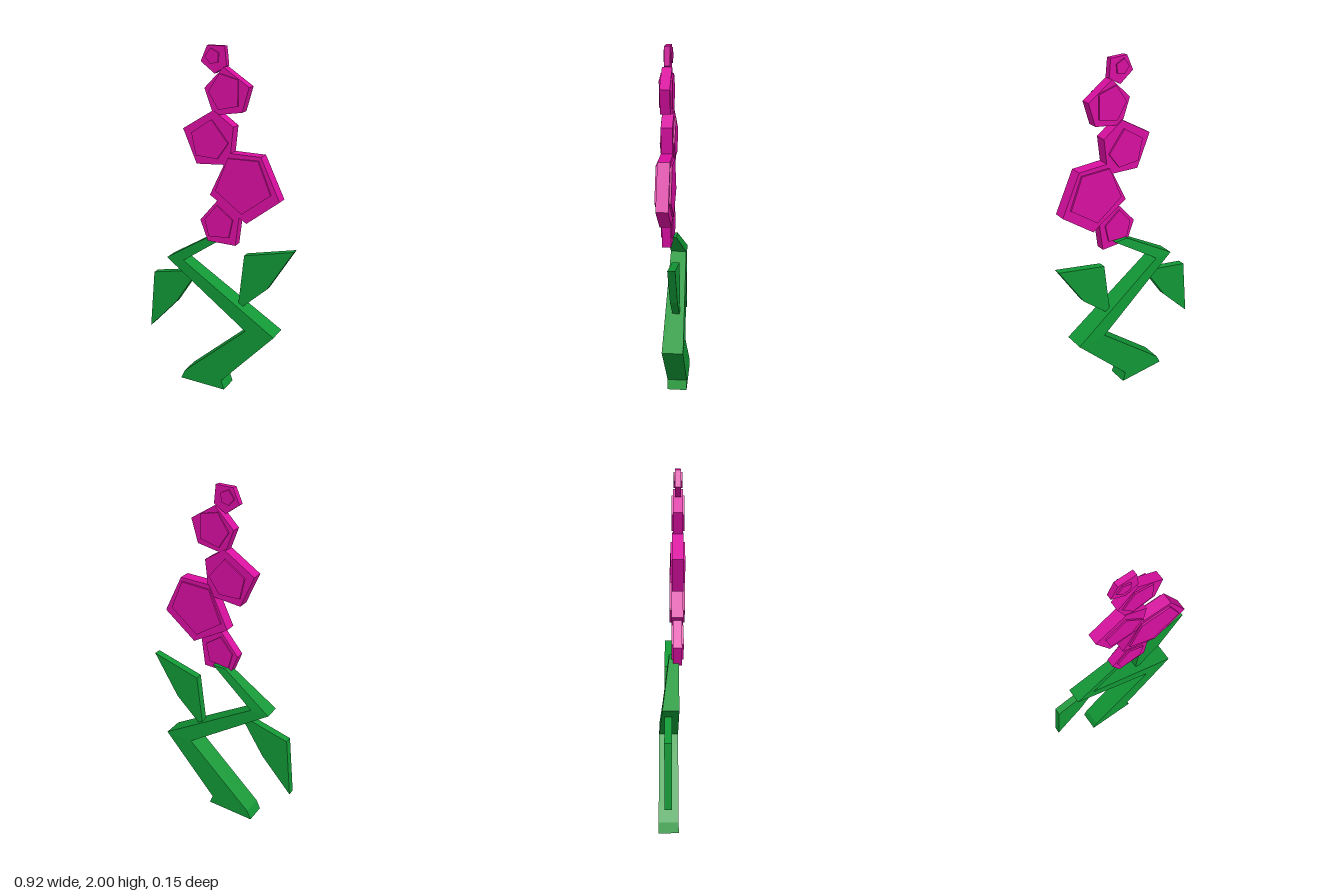
import * as THREE from 'three';

const green = new THREE.MeshStandardMaterial({ color: 0x119735, flatShading: true });
const pink = new THREE.MeshStandardMaterial({ color: 0xd80fa0, flatShading: true });

// Flat slab: outline [x, y] extruded between two depths
function slab(name, points, zBack, zFront, material) {
  const shape = new THREE.Shape(points.map(([x, y]) => new THREE.Vector2(x, y)));
  const geo = new THREE.ExtrudeGeometry(shape, { depth: zFront - zBack, bevelEnabled: false });
  geo.translate(0, 0, zBack);
  const mesh = new THREE.Mesh(geo, material);
  mesh.name = name;
  return mesh;
}

// Zigzag stem whose back face slopes forward towards the top
function makeStem() {
  const stem = slab('stem', [
    [-0.23, 0], [0.065, 0], [0.045, 0.055], [0.373, 0.424], [-0.2, 0.785],
    [0.07, 0.975], [-0.01, 0.975], [-0.31, 0.785], [0.198, 0.424], [-0.205, 0.055],
  ], -0.075, 0.04, green);
  const pos = stem.geometry.attributes.position;
  for (let i = 0; i < pos.count; i++) {
    if (pos.getZ(i) > 0) continue;
    const y = pos.getY(i);
    pos.setZ(i, y > 0.9 ? -0.015 : y > 0.7 ? -0.05 : -0.075);
  }
  stem.geometry.computeVertexNormals();
  return stem;
}

// Blossoms from bottom to top: outer and inner pentagon, rim depth, inner plate depth
const blossoms = [
  { outer: [[0.03, 1.187], [0.16, 1.108], [0.14, 0.943], [-0.03, 0.943], [-0.076, 1.06]],
    inner: [[0.03, 1.16], [0.125, 1.09], [0.103, 0.985], [-0.02, 0.975], [-0.045, 1.07]],
    rim: [0.008, 0.058], plate: [0, 0.067] },
  { outer: [[0.103, 1.457], [0.284, 1.457], [0.395, 1.23], [0.207, 1.083], [-0.013, 1.214]],
    inner: [[0.098, 1.431], [0.273, 1.436], [0.347, 1.261], [0.183, 1.134], [0.024, 1.245]],
    rim: [0, 0.064], plate: [-0.01, 0.074] },
  { outer: [[0.008, 1.675], [0.125, 1.597], [0.103, 1.394], [-0.093, 1.378], [-0.174, 1.563]],
    inner: [[0, 1.627], [0.098, 1.51], [0.035, 1.42], [-0.093, 1.425], [-0.12, 1.547]],
    rim: [0.002, 0.063], plate: [-0.007, 0.071] },
  { outer: [[0.066, 1.897], [0.21, 1.805], [0.172, 1.675], [0.008, 1.648], [-0.045, 1.786]],
    inner: [[0.045, 1.865], [0.151, 1.84], [0.151, 1.706], [0.04, 1.68], [-0.019, 1.77]],
    rim: [0.008, 0.06], plate: [0, 0.068] },
  { outer: [[-0.035, 2], [0.066, 2], [0.077, 1.902], [0.008, 1.86], [-0.072, 1.918]],
    inner: [[-0.013, 1.987], [0.034, 1.966], [0.03, 1.918], [-0.013, 1.908], [-0.045, 1.945]],
    rim: [0.018, 0.048], plate: [0.011, 0.056] },
];

export function createModel() {
  const model = new THREE.Group();
  model.name = 'flower';
  model.add(makeStem());

  // Leaves, their tips buried in the stem
  model.add(slab('leftLeaf',
    [[0.167, 0.869], [0.46, 0.943], [0.31, 0.694], [0.13, 0.525]], -0.04, 0, green));
  model.add(slab('rightLeaf',
    [[-0.427, 0.652], [-0.464, 0.286], [-0.278, 0.488], [-0.127, 0.722]], -0.04, 0, green));

  // Stack of pentagonal blossoms
  blossoms.forEach(({ outer, inner, rim, plate }, i) => {
    const blossom = new THREE.Group();
    blossom.name = `blossom${i + 1}`;
    blossom.add(slab('petalRim', outer, ...rim, pink), slab('petalCentre', inner, ...plate, pink));
    model.add(blossom);
  });
  return model;
}
